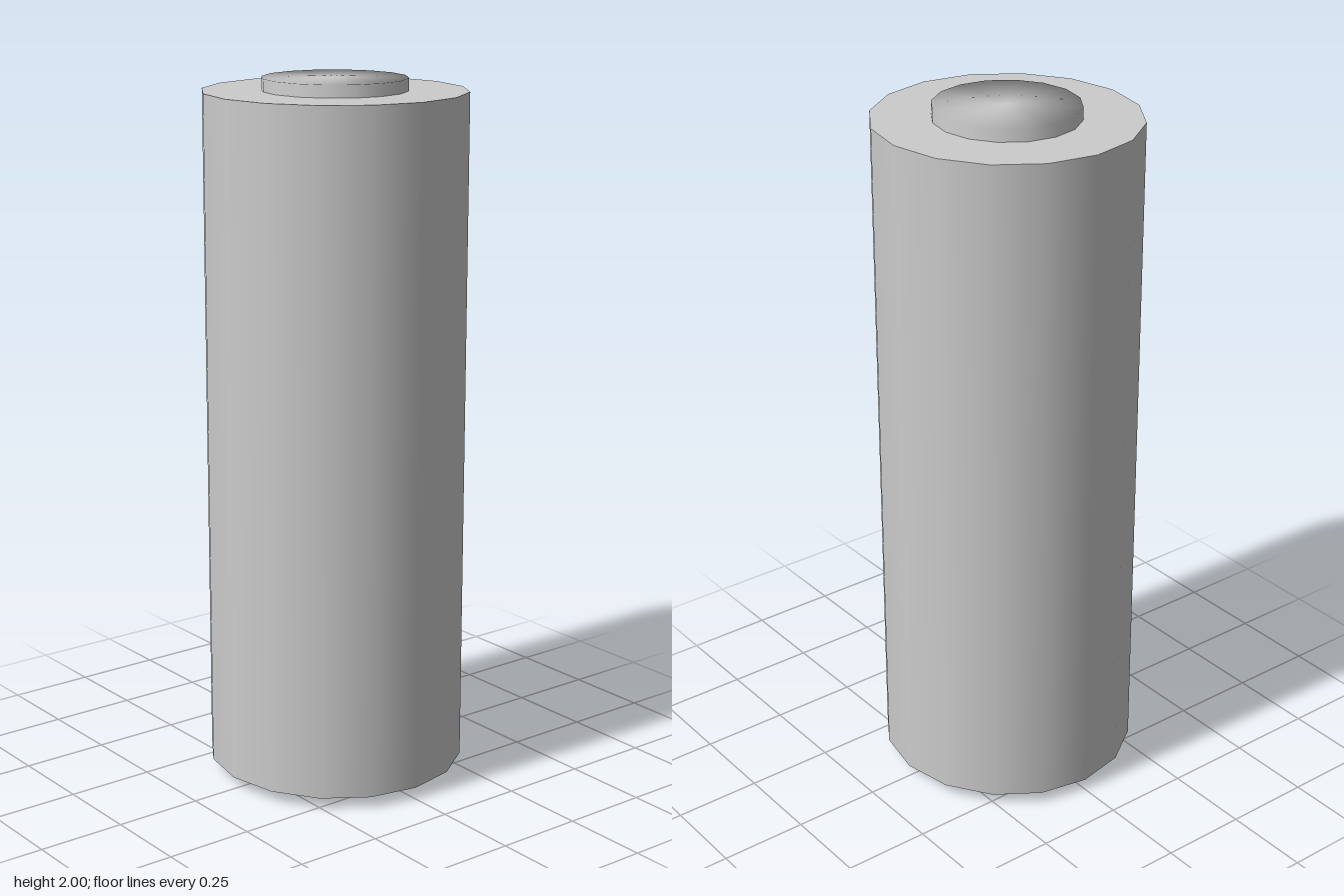
import * as THREE from 'three';
import { mergeVertices } from 'three/addons/utils/BufferGeometryUtils.js';

const SIDES = 16;

// Sixteen-sided, slightly elliptical drum standing around y = 1
function drum(name, radiusX, radiusZ, height, softRim) {
  let geometry = new THREE.CylinderGeometry(1, 1, height, SIDES);
  geometry.scale(radiusX, 1, radiusZ);
  if (softRim) {
    // Share the rim vertices so the ends shade smoothly into the side
    geometry.deleteAttribute('normal');
    geometry.deleteAttribute('uv');
    geometry = mergeVertices(geometry);
    geometry.computeVertexNormals();
  }
  const mesh = new THREE.Mesh(geometry, new THREE.MeshStandardMaterial({ color: 0xcccccc }));
  mesh.name = name;
  mesh.position.y = 1;
  return mesh;
}

export function createModel() {
  const model = new THREE.Group();
  model.name = 'roller';
  // Large body with crisp flat ends
  model.add(drum('body', 0.373, 0.366, 1.93, false));
  // Core shaft that stands out a little at both ends
  model.add(drum('shaft', 0.205, 0.201, 2, true));
  return model;
}
